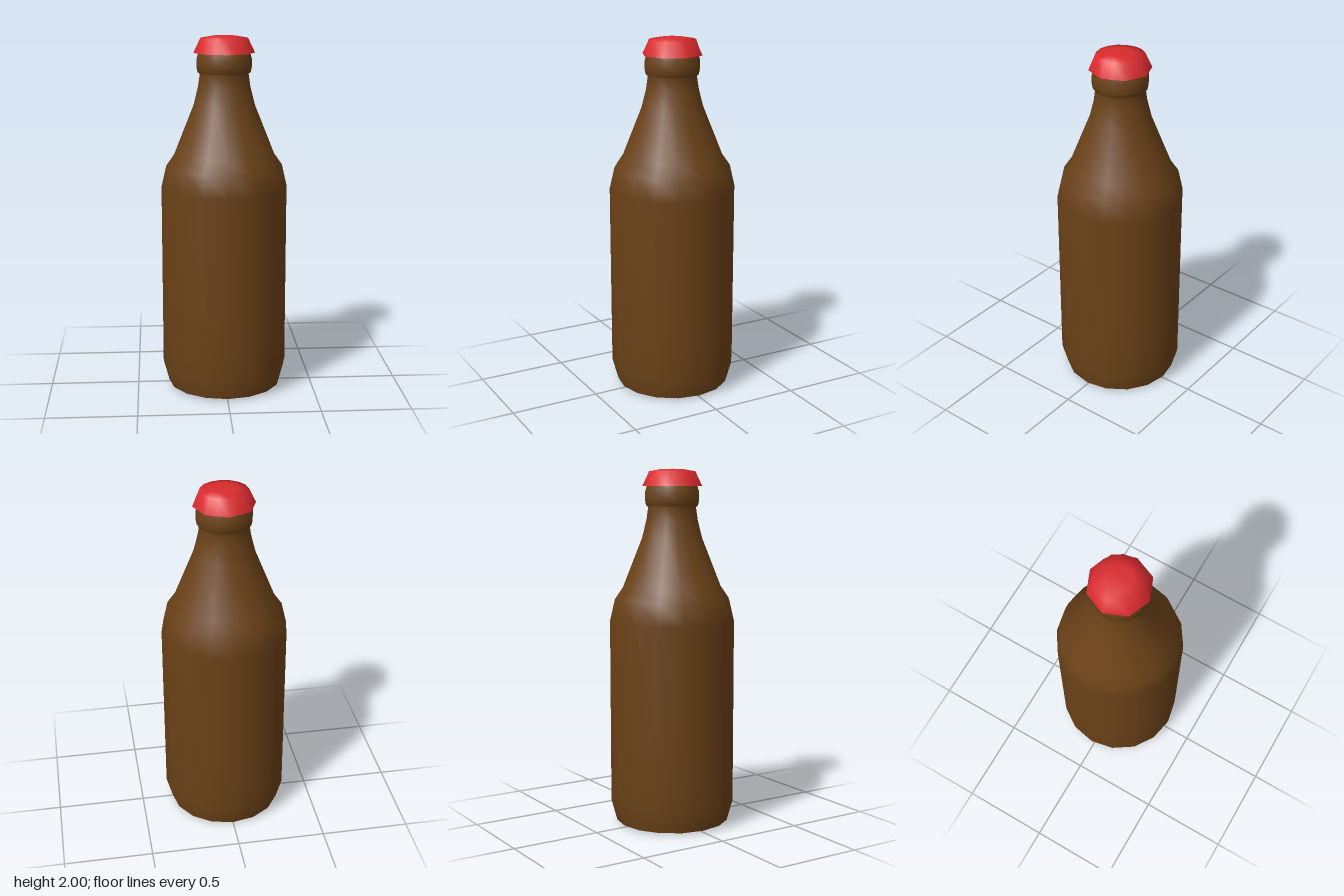
import * as THREE from 'three';
import { mergeVertices } from 'three/addons/utils/BufferGeometryUtils.js';

const SIDES = 16;

// Lathe without a seam; an optional rule moves vertices by (position, segment, ring).
function lathe(profile, rule) {
  const pts = profile.map(([r, y]) => new THREE.Vector2(r, y));
  let geo = new THREE.LatheGeometry(pts, SIDES);
  if (rule) {
    const pos = geo.attributes.position;
    const v = new THREE.Vector3();
    for (let i = 0; i < pos.count; i++) {
      v.fromBufferAttribute(pos, i);
      rule(v, Math.floor(i / pts.length), i % pts.length);
      pos.setXYZ(i, v.x, v.y, v.z);
    }
  }
  geo.deleteAttribute('uv');
  geo.deleteAttribute('normal');
  geo = mergeVertices(geo, 1e-4);
  geo.computeVertexNormals();
  return geo;
}

function part(name, geo, mat) {
  const mesh = new THREE.Mesh(geo, mat);
  mesh.name = name;
  return mesh;
}

export function createModel() {
  const group = new THREE.Group();
  group.name = 'bottle';
  const glass = new THREE.MeshStandardMaterial({ color: 0x6b4218 });
  const red = new THREE.MeshStandardMaterial({ color: 0xd92b2e, side: THREE.DoubleSide });

  // Body, shoulder, neck and rolled lip
  group.add(part('glassBody', lathe([
    [0.32, 0.01], [0.353, 0.13], [0.353, 0.46], [0.353, 1.16],
    [0.325, 1.28], [0.28, 1.345], [0.17, 1.62], [0.145, 1.72], [0.135, 1.79],
    [0.147, 1.8], [0.153, 1.83], [0.153, 1.87], [0.142, 1.91], [0.125, 1.96],
  ]), glass));

  // Base, separate so its edge stays crisp
  group.add(part('base', lathe([[0, 0], [0.24, 0.002], [0.32, 0.01]]), glass));

  // Cap: round top flaring to an octagonal rim
  const cap = lathe([[0.17, 1.905], [0.131, 1.986], [0.07, 1.997], [0, 2]], (v, seg, ring) => {
    if (ring === 0 && seg % 2) {
      v.x *= Math.cos(Math.PI / 8);
      v.z *= Math.cos(Math.PI / 8);
    }
  });
  group.add(part('cap', cap, red));

  return group;
}
